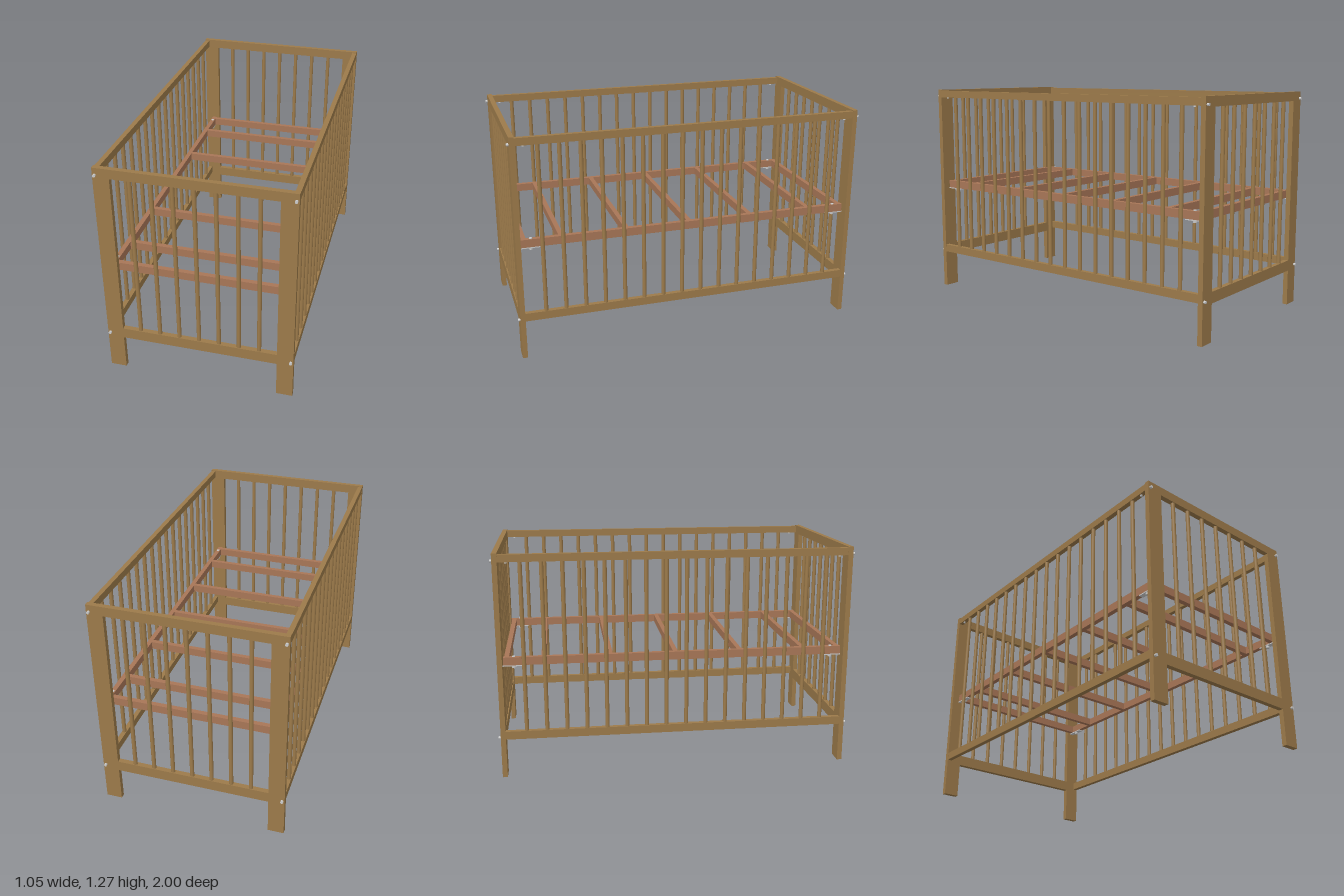
import * as THREE from 'three';

const wood = new THREE.MeshStandardMaterial({ color: 0x9c7a4a });
const redWood = new THREE.MeshStandardMaterial({ color: 0xa87657 });
const metal = new THREE.MeshStandardMaterial({ color: 0xcccccc });

// Box given by its extents on each axis
function box(parent, name, material, [x0, x1], [y0, y1], [z0, z1]) {
  const mesh = new THREE.Mesh(new THREE.BoxGeometry(x1 - x0, y1 - y0, z1 - z0), material);
  mesh.position.set((x0 + x1) / 2, (y0 + y1) / 2, (z0 + z1) / 2);
  mesh.name = name;
  parent.add(mesh);
}

// Upright or lying cylinder, centred on a point
function rod(parent, name, material, radius, length, [x, y, z], axis = 'y', sides = 16) {
  const geometry = new THREE.CylinderGeometry(radius, radius, length, sides);
  if (axis === 'z') geometry.rotateX(Math.PI / 2);
  if (axis === 'x') geometry.rotateZ(Math.PI / 2);
  const mesh = new THREE.Mesh(geometry, material);
  mesh.position.set(x, y, z);
  mesh.name = name;
  parent.add(mesh);
}

// Head or foot panel: two flat legs, two rails, seven bars and the bolts
function endPanel(name) {
  const g = new THREE.Group();
  g.name = name;
  const z = [0.96, 0.988];
  box(g, 'topRail', wood, [-0.525, 0.525], [1.213, 1.266], z);
  box(g, 'bottomRail', wood, [-0.435, 0.435], [0.208, 0.27], z);
  for (const s of [-1, 1]) {
    const x = s > 0 ? [0.435, 0.525] : [-0.525, -0.435];
    box(g, 'leg', wood, x, [0, 1.213], z);
    for (const y of [0.233, 1.226]) {
      rod(g, 'boltHead', metal, 0.008, 0.012, [s * 0.511, y, 0.994], 'z');
    }
  }
  for (let i = -3; i <= 3; i++) {
    rod(g, 'endBar', wood, 0.0115, 0.943, [i * 0.1115, 0.7415, 0.974]);
  }
  return g;
}

// Long side panel: two rails, sixteen bars and the barrel nuts
function sidePanel(name) {
  const g = new THREE.Group();
  g.name = name;
  const x = [0.497, 0.524];
  box(g, 'topRail', wood, x, [1.219, 1.26], [-0.96, 0.96]);
  box(g, 'bottomRail', wood, x, [0.224, 0.27], [-0.96, 0.96]);
  for (let i = 0; i < 16; i++) {
    rod(g, 'sideBar', wood, 0.0115, 0.949, [0.511, 0.7445, (i - 7.5) * 0.1123]);
  }
  for (const z of [-0.915, 0.915]) {
    rod(g, 'barrelNut', metal, 0.007, 0.012, [0.511, 1.218, z]);
  }
  return g;
}

// Mattress support: long rails, cross slats and corner fixings
function mattressBase() {
  const g = new THREE.Group();
  g.name = 'mattressBase';
  const y = [0.641, 0.686];
  for (const s of [-1, 1]) {
    const x = s > 0 ? [0.455, 0.482] : [-0.482, -0.455];
    box(g, 'baseRail', redWood, x, y, [-0.957, 0.957]);
    for (const t of [-1, 1]) {
      const z = t > 0 ? [0.85, 0.96] : [-0.96, -0.85];
      box(g, 'bracket', metal, x, [0.635, 0.641], z);
      rod(g, 'bracketBolt', metal, 0.009, 0.006, [s * 0.468, 0.687, t * 0.9]);
      rod(g, 'bracketNut', metal, 0.011, 0.012, [s * 0.468, 0.63, t * 0.9], 'y', 6);
    }
  }
  for (const z of [-0.938, -0.735, -0.367, 0, 0.367, 0.735, 0.938]) {
    box(g, 'crossSlat', redWood, [-0.455, 0.455], y, [z - 0.0135, z + 0.0135]);
  }
  return g;
}

export function createModel() {
  const model = new THREE.Group();
  model.name = 'cot';
  const back = endPanel('backPanel');
  const right = sidePanel('rightPanel');
  back.rotation.y = Math.PI;
  right.rotation.y = Math.PI;
  model.add(endPanel('frontPanel'), back, sidePanel('leftPanel'), right, mattressBase());
  return model;
}
